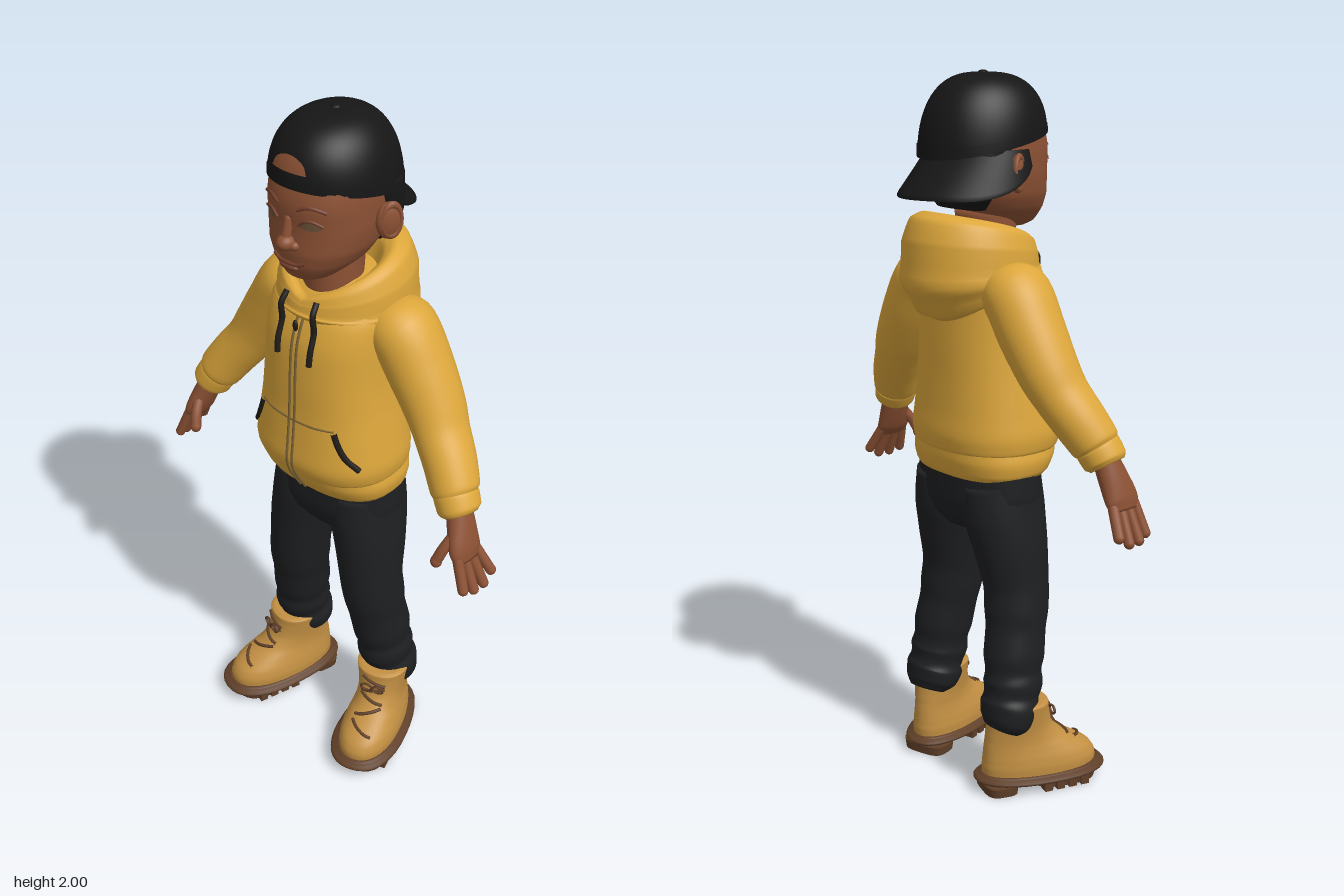
import * as THREE from 'three';

const V = (x, y, z) => new THREE.Vector3(x, y, z);
const mat = (name, color, side = THREE.FrontSide) =>
  new THREE.MeshStandardMaterial({ name, color, side });

// Surface from fn(u, v) over a grid; u can wrap round to close the rings
function grid(nu, nv, fn, wrap = true) {
  const pos = [], idx = [], cols = wrap ? nu : nu + 1;
  for (let j = 0; j <= nv; j++)
    for (let i = 0; i < cols; i++) pos.push(...fn(i / nu, j / nv).toArray());
  for (let j = 0; j < nv; j++)
    for (let i = 0; i < nu; i++) {
      const k = (i + 1) % cols, a = j * cols + i, b = j * cols + k;
      idx.push(a, a + cols, b, b, a + cols, b + cols);
    }
  const g = new THREE.BufferGeometry();
  g.setAttribute('position', new THREE.Float32BufferAttribute(pos, 3));
  g.setIndex(idx);
  g.computeVertexNormals();
  return g;
}

// Closed loft through sections [x, y, z, radiusA, radiusZ]
function sweep(secs, n = 2, level = false) {
  const path = new THREE.CatmullRomCurve3(secs.map(s => V(s[0], s[1], s[2])));
  const size = new THREE.CatmullRomCurve3(secs.map(s => V(s[3], s[4], 0)));
  const rows = (secs.length - 1) * 5 + 2, bend = c => Math.sign(c) * Math.abs(c) ** (2 / n);
  return grid(36, rows, (u, v) => {
    const j = Math.round(v * rows), t = THREE.MathUtils.clamp((j - 1) / (rows - 2), 0, 1);
    const T = level ? V(0, 1, 0) : path.getTangent(t);
    const B = V(0, 0, 1).addScaledVector(T, -T.z).normalize(), A = T.clone().cross(B);
    const r = size.getPoint(t), k = j === 0 || j === rows ? 0 : 1, a = u * Math.PI * 2;
    return path.getPoint(t).addScaledVector(A, k * r.x * bend(Math.cos(a)))
      .addScaledVector(B, k * r.y * bend(Math.sin(a)));
  });
}

// Upright loft through level sections [y, halfWidth, frontZ, backZ]
const stack = (secs, n = 2) =>
  sweep(secs.map(([y, w, f, b]) => [0, y, (f + b) / 2, w, (f - b) / 2]), n, true);

const tube = (pts, r, seg = 20) =>
  new THREE.TubeGeometry(new THREE.CatmullRomCurve3(pts), seg, r, 8);

// Depth of a mesh's front surface at (x, y)
function onFront(target, x, y, lift = 0.002) {
  const hit = new THREE.Raycaster(V(x, y, 2), V(0, 0, -1)).intersectObject(target)[0];
  return V(x, y, (hit ? hit.point.z : 0.1) + lift);
}

function capsule(a, b, r) {
  const d = b.clone().sub(a);
  const g = new THREE.CapsuleGeometry(r, d.length(), 6, 12);
  g.applyQuaternion(new THREE.Quaternion().setFromUnitVectors(V(0, 1, 0), d.clone().normalize()));
  return g.translate(...a.clone().add(b).multiplyScalar(0.5).toArray());
}

const ball = (x, y, z, rx, ry, rz) =>
  new THREE.SphereGeometry(1, 24, 16).scale(rx, ry, rz).translate(x, y, z);

export function createModel() {
  const root = new THREE.Group();
  root.name = 'child';
  const D = THREE.DoubleSide;
  const cloth = mat('yellow cloth', 0xdca63b, D), black = mat('cap black', 0x161616, D);
  const denim = mat('dark denim', 0x1e1f21), skin = mat('brown skin', 0x8c5134, D);
  const leather = mat('tan leather', 0xc39043), rubber = mat('brown rubber', 0x5f3f28);
  const trim = mat('dark trim', 0x201c18), metal = mat('zip bronze', 0x7a6234);
  const lip = mat('lip brown', 0x74402d), eye = mat('eye brown', 0x6b5138, D);
  const add = (name, geo, m, parent = root) => {
    const mesh = new THREE.Mesh(geo, m);
    mesh.name = name;
    parent.add(mesh);
    mesh.updateMatrixWorld();
    return mesh;
  };

  // Hooded jacket body and hem
  add('hem', stack([[0.92, 0.195, 0.155, -0.115], [0.935, 0.205, 0.17, -0.122],
    [0.97, 0.211, 0.19, -0.13], [1.0, 0.205, 0.2, -0.13]], 2.5), cloth);
  const body = add('jacketBody', stack([[0.985, 0.2, 0.19, -0.125], [1.0, 0.211, 0.208, -0.135],
    [1.04, 0.216, 0.22, -0.14], [1.1, 0.208, 0.215, -0.135], [1.2, 0.193, 0.205, -0.13],
    [1.3, 0.183, 0.2, -0.128], [1.4, 0.18, 0.19, -0.125], [1.47, 0.176, 0.165, -0.12],
    [1.53, 0.15, 0.12, -0.115], [1.56, 0.1, 0.08, -0.1]], 2.4), cloth);

  // Hood: rings [width, frontZ, backZ, frontY, backY, power] from the drape over the lip to the inside
  const rings = [[0.15, 0.14, -0.1, 1.46, 1.34, 4], [0.178, 0.168, -0.165, 1.47, 1.365, 4],
    [0.188, 0.178, -0.212, 1.485, 1.45, 3], [0.18, 0.17, -0.205, 1.505, 1.56, 1],
    [0.16, 0.162, -0.18, 1.52, 1.625, 1], [0.135, 0.148, -0.14, 1.525, 1.64, 1],
    [0.112, 0.13, -0.1, 1.515, 1.62, 1], [0.1, 0.115, -0.07, 1.48, 1.55, 1]];
  const ringA = new THREE.CatmullRomCurve3(rings.map(r => V(r[0], r[1], r[2])));
  const ringB = new THREE.CatmullRomCurve3(rings.map(r => V(r[3], r[4], r[5])));
  add('hood', grid(48, 35, (u, v) => {
    const a = u * Math.PI * 2, p = ringA.getPoint(v), q = ringB.getPoint(v);
    const t = Math.sin(a / 2) ** Math.max(q.z, 1);
    return V(-p.x * Math.sin(a), q.x + (q.y - q.x) * t,
      (p.y + p.z) / 2 + (p.y - p.z) / 2 * Math.cos(a));
  }), cloth);

  // Zip down the middle, pocket seam, pocket zips, drawstrings
  const frontLine = (pts, lift) => pts.map(([x, y]) => onFront(body, x, y, lift));
  const zipY = [1.0, 1.04, 1.1, 1.2, 1.3, 1.4, 1.46, 1.5];
  for (const x of [-0.009, 0.009])
    add('zipEdge', tube([V(x, 0.93, 0.168), V(x, 0.97, 0.192), ...frontLine(zipY.map(y => [x, y]), 0)], 0.004, 40), metal);
  add('zipPull', ball(0, 1.455, 0.185, 0.008, 0.016, 0.006), trim);
  add('pocketSeam', tube(frontLine([-0.125, -0.08, -0.04, 0, 0.04, 0.08, 0.125].map(x => [x, 1.175]), 0), 0.003), metal);
  for (const s of [-1, 1]) {
    add('pocketZip', tube(frontLine([[s * 0.125, 1.172], [s * 0.136, 1.14], [s * 0.155, 1.1],
      [s * 0.185, 1.06]], 0), 0.009), trim);
    add('drawstring', tube([V(s * 0.05, 1.53, 0.158), V(s * 0.054, 1.5, 0.178),
      ...frontLine([[s * 0.055, 1.45], [s * 0.056, 1.4], [s * 0.055, 1.36]], 0.006)], 0.008), trim);
  }

  // Sleeves, cuffs and hands
  for (const s of [-1, 1]) {
    const m = secs => sweep(secs.map(([x, ...r]) => [s * x, ...r]));
    add('sleeve', m([[0.12, 1.475, -0.015, 0.045, 0.07], [0.19, 1.43, -0.015, 0.088, 0.098],
      [0.25, 1.34, -0.015, 0.086, 0.094], [0.31, 1.245, -0.008, 0.078, 0.086],
      [0.345, 1.19, 0.005, 0.07, 0.08], [0.39, 1.13, 0.025, 0.068, 0.075],
      [0.43, 1.07, 0.048, 0.064, 0.068], [0.44, 1.055, 0.052, 0.05, 0.058]]), cloth);
    add('cuff', m([[0.43, 1.07, 0.048, 0.05, 0.055], [0.437, 1.058, 0.052, 0.058, 0.064],
      [0.455, 1.028, 0.06, 0.057, 0.061], [0.462, 1.016, 0.062, 0.046, 0.05]]), cloth);
    const hand = new THREE.Group();
    hand.name = 'hand';
    root.add(hand);
    add('palm', m([[0.455, 1.03, 0.062, 0.032, 0.038], [0.475, 0.98, 0.072, 0.032, 0.046],
      [0.495, 0.93, 0.082, 0.028, 0.054], [0.508, 0.9, 0.083, 0.018, 0.046]]), skin, hand);
    const tips = [[0.545, 0.845, 0.027], [0.548, 0.824, 0.062], [0.545, 0.824, 0.1], [0.535, 0.835, 0.133]];
    tips.forEach(([x, y, z], i) => {
      const base = V(s * 0.503, 0.915, 0.045 + i * 0.025);
      add('finger', capsule(base, V(s * x, y, z), 0.0145), skin, hand);
    });
    add('thumb', tube([V(s * 0.475, 0.975, 0.1), V(s * 0.462, 0.935, 0.13), V(s * 0.452, 0.9, 0.145)], 0.016), skin, hand);
    add('thumbTip', ball(s * 0.452, 0.898, 0.145, 0.016, 0.018, 0.016), skin, hand);
  }

  // Trousers with soft folds at the ankles
  add('hips', stack([[0.76, 0.1, 0.1, -0.07], [0.8, 0.17, 0.13, -0.1], [0.86, 0.203, 0.143, -0.114],
    [0.95, 0.2, 0.14, -0.112]], 2.4), denim);
  for (const s of [-1, 1])
    add('trouserLeg', sweep([[0.17, 0.19, -0.04, 0.06, 0.055], [0.172, 0.215, -0.03, 0.08, 0.072],
      [0.172, 0.255, -0.015, 0.085, 0.084], [0.17, 0.285, -0.008, 0.076, 0.08],
      [0.168, 0.32, 0, 0.08, 0.088], [0.164, 0.355, 0.004, 0.075, 0.083], [0.16, 0.4, 0.01, 0.081, 0.09],
      [0.152, 0.47, 0.022, 0.081, 0.088], [0.146, 0.53, 0.03, 0.086, 0.094], [0.138, 0.6, 0.035, 0.087, 0.096],
      [0.124, 0.72, 0.025, 0.094, 0.112], [0.108, 0.82, 0.015, 0.097, 0.125],
      [0.102, 0.9, 0.012, 0.094, 0.12]].map(([x, ...r]) => [s * x, ...r])), denim);

  // Boots, toes turned out
  for (const s of [-1, 1]) {
    const boot = new THREE.Group();
    boot.name = 'boot';
    const toeOut = g => {
      const p = g.attributes.position;
      for (let i = 0; i < p.count; i++) p.setX(i, p.getX(i) * (1 + 0.6 * p.getZ(i)));
      g.computeVertexNormals();
      return g;
    };
    const upper = add('bootUpper', toeOut(stack([[0.04, 0.078, 0.245, -0.1], [0.07, 0.08, 0.246, -0.102],
      [0.1, 0.077, 0.23, -0.1], [0.13, 0.07, 0.185, -0.097], [0.155, 0.066, 0.14, -0.093],
      [0.19, 0.067, 0.108, -0.088], [0.24, 0.074, 0.094, -0.08], [0.262, 0.077, 0.092, -0.076],
      [0.268, 0.066, 0.08, -0.064]], 2.2)), leather, boot);
    add('welt', toeOut(stack([[0.026, 0.08, 0.248, -0.104], [0.03, 0.086, 0.256, -0.11],
      [0.05, 0.086, 0.256, -0.11], [0.054, 0.08, 0.248, -0.104]], 2.3)), rubber, boot);
    add('heel', toeOut(stack([[0, 0.07, -0.01, -0.105], [0.03, 0.074, -0.008, -0.108]], 3.5)), rubber, boot);
    add('foreSole', toeOut(stack([[0.004, 0.07, 0.24, 0.035], [0.03, 0.074, 0.245, 0.03]], 2.6)), rubber, boot);
    for (const e of [-1, 1])
      for (let i = 0; i < 4; i++)
        add('lug', new THREE.BoxGeometry(0.03, 0.03, 0.024).translate(e * 0.068, 0.015, 0.07 + i * 0.038), rubber, boot);
    for (let i = 0; i < 5; i++) {
      const y = 0.125 + i * 0.028;
      add('lace', tube([-0.036, -0.018, 0, 0.018, 0.036].map((x, k) =>
        onFront(upper, x, y + (i % 2 ? 1 : -1) * (k - 2) * 0.005)), 0.005), rubber, boot);
    }
    for (const e of [-1, 1])
      add('laceBow', new THREE.TorusGeometry(0.017, 0.004, 6, 16).scale(1, 0.7, 1)
        .translate(e * 0.018, 0.222, 0.106), rubber, boot);
    boot.position.set(s * 0.176, 0, 0.005);
    boot.rotation.y = s * 0.3;
    root.add(boot);
  }

  // Neck, head and short hair
  add('neck', stack([[1.46, 0.085, 0.115, -0.05], [1.54, 0.08, 0.12, -0.04], [1.64, 0.08, 0.12, -0.05]]), skin);
  const head = add('head', stack([[1.587, 0.035, 0.165, 0.07], [1.6, 0.066, 0.187, 0.02],
    [1.64, 0.108, 0.204, -0.05], [1.68, 0.13, 0.208, -0.08], [1.74, 0.141, 0.204, -0.1],
    [1.8, 0.142, 0.205, -0.105], [1.87, 0.135, 0.185, -0.1], [1.93, 0.09, 0.12, -0.06]], 2.25), skin);
  add('hair', stack([[1.645, 0.09, -0.015, -0.08], [1.68, 0.122, -0.005, -0.105],
    [1.75, 0.145, 0.025, -0.116], [1.83, 0.148, 0.08, -0.12]], 2.3), black);

  // Face and ears
  add('noseTip', ball(0, 1.706, 0.208, 0.024, 0.022, 0.03), skin);
  add('noseBridge', capsule(V(0, 1.765, 0.198), V(0, 1.715, 0.212), 0.013), skin);
  add('lowerLip', ball(0, 1.637, 0.203, 0.03, 0.009, 0.011), lip);
  add('mouth', tube([[-0.05, 1.657], [-0.028, 1.649], [0, 1.648], [0.028, 1.649], [0.05, 1.657]]
    .map(([x, y]) => onFront(head, x, y)), 0.005), lip);
  for (const s of [-1, 1]) {
    add('nostrilWing', ball(s * 0.021, 1.7, 0.202, 0.014, 0.013, 0.016), skin);
    add('eye', grid(20, 4, (u, v) => onFront(head, s * 0.063 + 0.027 * v * Math.cos(u * 6.2832),
      1.762 + 0.012 * v * Math.sin(u * 6.2832))), eye);
    add('eyelid', tube([[0.034, 1.76], [0.05, 1.774], [0.068, 1.776], [0.092, 1.764]]
      .map(([x, y]) => onFront(head, s * x, y)), 0.004), lip);
    add('eyebrow', tube([[0.03, 1.8], [0.06, 1.811], [0.098, 1.8]]
      .map(([x, y]) => onFront(head, s * x, y, 0)), 0.005), lip);
    add('ear', ball(0, 0, 0, 0.018, 0.05, 0.034).rotateY(s * -0.45).translate(s * 0.157, 1.742, 0.012), skin);
    add('earRim', new THREE.TorusGeometry(0.032, 0.008, 8, 24).scale(0.8, 1.3, 1)
      .rotateY(Math.PI / 2 - s * 0.45).translate(s * 0.165, 1.744, 0.01), skin);
  }

  // Cap worn backwards: dome, rear opening at the front, button and brim
  const dome = (a, phi, k = 1) => {
    const c = Math.max(Math.cos(phi), 0) ** 0.72 * k;
    const rim = 1.812 + 0.036 * Math.cos(a);
    return V(-0.006 - 0.157 * Math.sin(a) * c, rim + (1.995 - rim) * Math.sin(phi) ** 0.95,
      0.02 + 0.182 * Math.cos(a) * c);
  };
  add('capDome', grid(48, 18, (u, v) => dome(u * Math.PI * 2, v * Math.PI / 2)), black);
  add('capBand', grid(48, 2, (u, v) => dome(u * Math.PI * 2, v * 0.12, 1.012)), black);
  add('capOpening', grid(16, 4, (u, v) => {
    const w = u * 2 - 1;
    return dome(w * 0.36, 0.26 + v * 0.28 * Math.sqrt(1 - w * w), 1.012);
  }, false), skin);
  add('capButton', ball(-0.008, 1.992, 0.02, 0.015, 0.008, 0.015), black);
  const brim = add('capBrim', grid(32, 20, (u, v) => {
    const a = (u * 2 - 1) * 1.5, w = v < 0.5 ? v * 2 : 2 - v * 2, sn = Math.sin(a), cs = Math.cos(a);
    const x = sn * (0.145 + 0.06 * w * Math.sqrt(cs)), z = -cs * (0.15 + 0.145 * w);
    return V(x, 1.802 - 0.115 * w * cs ** 0.4 - 0.035 * w * sn * sn * cs - (v > 0.5 ? 0.009 : 0), z);
  }, false), black);
  brim.rotation.y = 0.36;
  brim.position.set(-0.005, 0, 0.022);

  return root;
}
